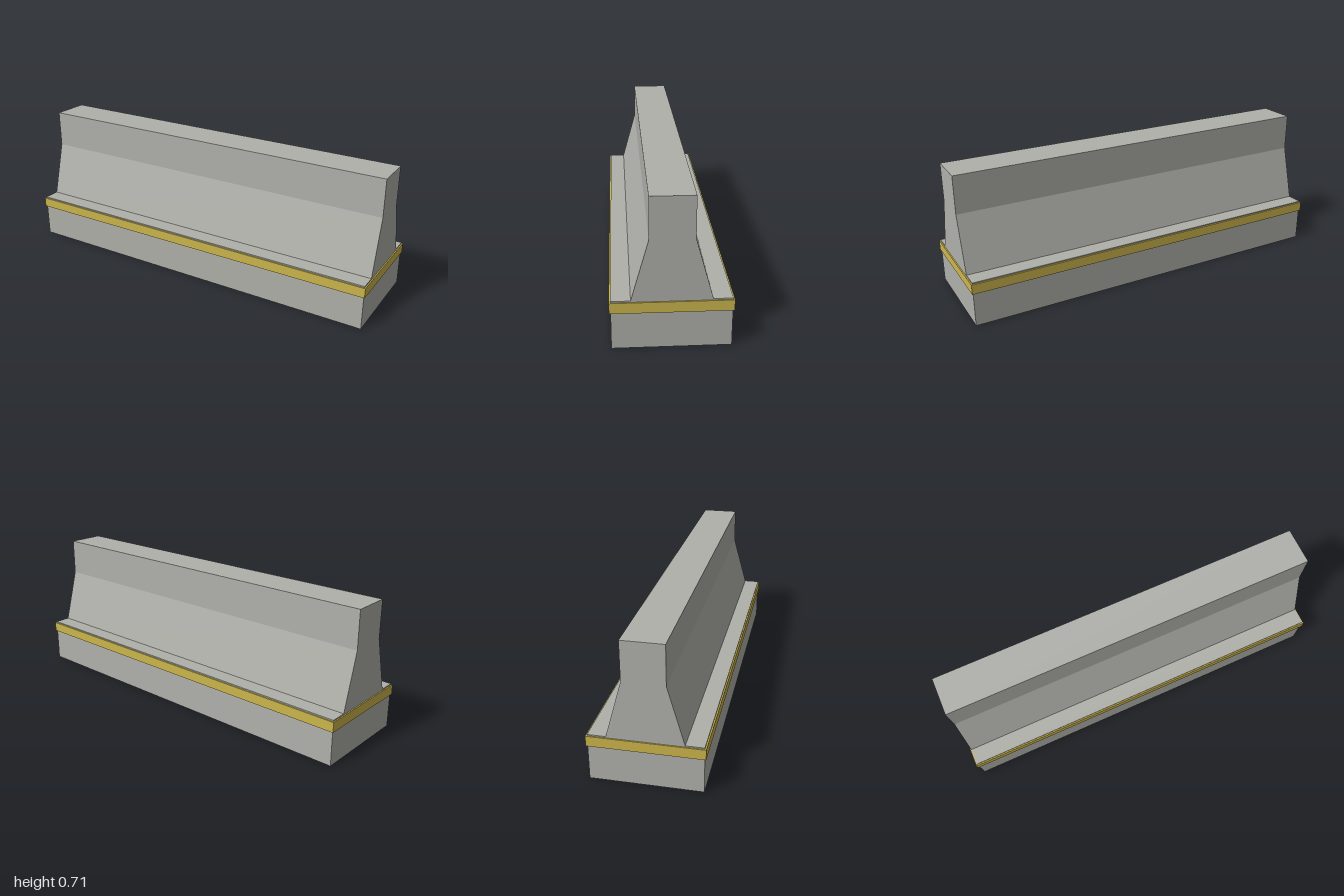
import * as THREE from 'three';

export function createModel() {
  const group = new THREE.Group();
  const concrete = new THREE.MeshStandardMaterial({ color: 0xb0b0ab });
  concrete.name = 'concrete';
  const yellow = new THREE.MeshStandardMaterial({ color: 0xccb64c });
  yellow.name = 'yellow paint';

  // Barrier body: half profile (z, y), mirrored and run along x
  const length = 1.988;
  const half = [[0.264, 0], [0.264, 0.232], [0.178, 0.232], [0.099, 0.515], [0.099, 0.709]];
  const mirrored = half.map(([z, y]) => [-z, y]).reverse();
  const profile = new THREE.Shape([...half, ...mirrored].map(([z, y]) => new THREE.Vector2(z, y)));
  const bodyGeometry = new THREE.ExtrudeGeometry(profile, { depth: length, bevelEnabled: false });
  bodyGeometry.translate(0, 0, -length / 2);
  bodyGeometry.rotateY(Math.PI / 2);
  const body = new THREE.Mesh(bodyGeometry, concrete);
  body.name = 'barrierBody';
  group.add(body);

  // Painted band wrapped around the footing, just below its upper edge
  const band = new THREE.Mesh(new THREE.BoxGeometry(2, 0.051, 0.542), yellow);
  band.name = 'warningBand';
  band.position.y = 0.2;
  group.add(band);

  return group;
}
